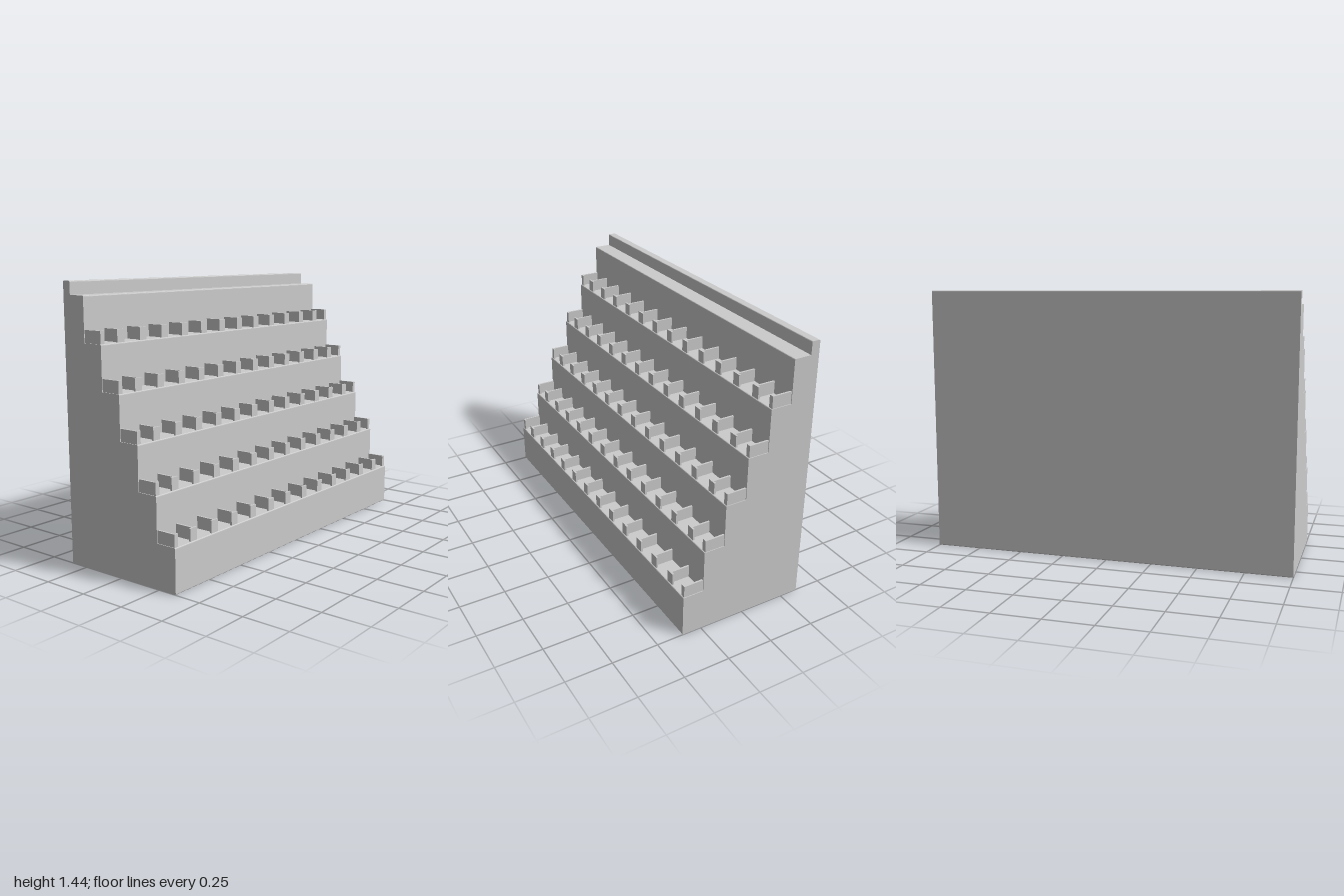
import * as THREE from 'three';

const material = new THREE.MeshStandardMaterial({ color: 0xcccccc, flatShading: true });

const STEPS = 6, RISE = 0.2285, RUN = 0.114, FRONT = 0.356, BACK = -0.353;
const DIVIDERS = 14, PITCH = 0.1567;

// Stepped side profile as [z, y] corners, each flagged when it is an outer edge to soften
function profileCorners() {
  const corners = [[FRONT, 0, true]];
  for (let i = 0; i < STEPS; i++) {
    const y = (i + 1) * RISE;
    const tread = i === STEPS - 1 ? -0.307 : FRONT - (i + 1) * RUN;
    corners.push([FRONT - i * RUN, y, true], [tread, y, false]);
  }
  corners.push([-0.307, 1.439, true], [BACK, 1.439, true], [BACK, 0, true]);
  return corners;
}

// Replaces each outer corner with a small rounded edge
function softShape(corners, r) {
  const shape = new THREE.Shape();
  corners.forEach(([z, y, soft], i) => {
    const p = new THREE.Vector2(-z, y);
    const toward = (j) => {
      const c = corners[(j + corners.length) % corners.length];
      return new THREE.Vector2(-c[0], c[1]).sub(p).setLength(r).add(p);
    };
    const a = soft ? toward(i - 1) : p, b = soft ? toward(i + 1) : p;
    if (i === 0) shape.moveTo(a.x, a.y);
    else shape.lineTo(a.x, a.y);
    if (soft) shape.quadraticCurveTo(p.x, p.y, b.x, b.y);
  });
  shape.closePath();
  return shape;
}

function box(name, x0, x1, y0, y1, z0, z1) {
  const mesh = new THREE.Mesh(new THREE.BoxGeometry(x1 - x0, y1 - y0, z1 - z0), material);
  mesh.position.set((x0 + x1) / 2, (y0 + y1) / 2, (z0 + z1) / 2);
  mesh.name = name;
  return mesh;
}

// Thin wall across the tread with a wider plate on its front end
function createDivider(x, y, front, depth) {
  const group = new THREE.Group();
  group.name = 'divider';
  const limit = 0.996, half = 0.0235, wall = 0.005, top = y + 0.064, bottom = y - 0.002;
  const wallX = THREE.MathUtils.clamp(x, -limit + wall, limit - wall);
  const left = Math.max(x - half, -limit), right = Math.min(x + half, limit);
  group.add(box('frontPlate', left, right, bottom, top, front - 0.01, front));
  group.add(box('dividerWall', wallX - wall, wallX + wall, bottom, top, front - depth, front - 0.01));
  return group;
}

export function createModel() {
  const model = new THREE.Group();
  model.name = 'steppedDisplay';

  // Solid stepped body
  const geometry = new THREE.ExtrudeGeometry(softShape(profileCorners(), 0.006), {
    depth: 2, bevelEnabled: false, curveSegments: 3,
  });
  geometry.translate(0, 0, -1).rotateY(Math.PI / 2);
  const body = new THREE.Mesh(geometry, material);
  body.name = 'steppedBody';
  model.add(body);

  // A row of dividers on every tread below the top ledge
  for (let i = 0; i < STEPS - 1; i++) {
    const row = new THREE.Group();
    row.name = 'dividerRow';
    for (let j = 0; j < DIVIDERS; j++) {
      let x = (j - (DIVIDERS - 1) / 2) * PITCH;
      if (j === 0 || j === DIVIDERS - 1) x = Math.sign(x) * 0.995;
      row.add(createDivider(x, (i + 1) * RISE, FRONT - 0.006 - i * RUN, RUN - 0.004));
    }
    model.add(row);
  }
  return model;
}
